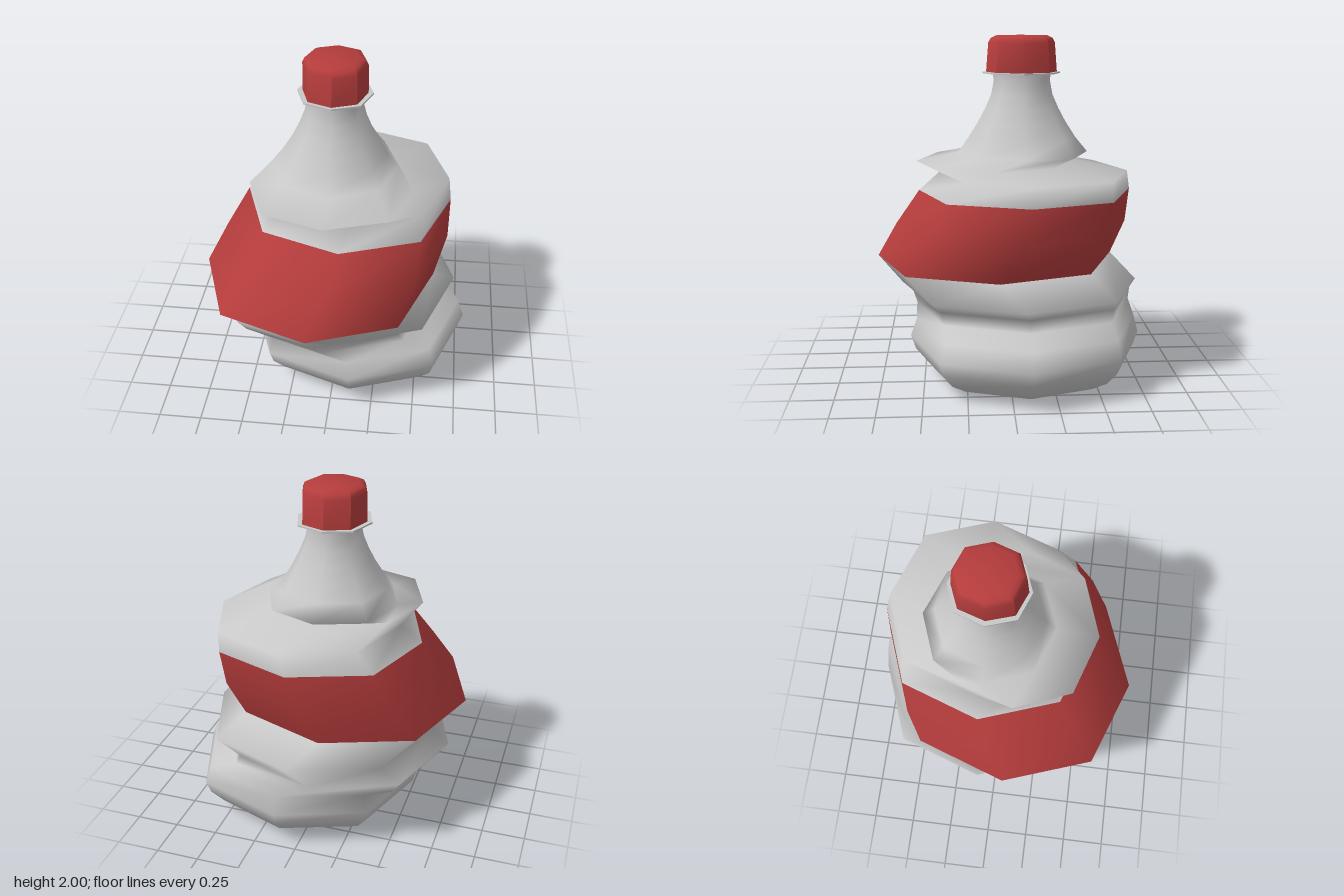
import * as THREE from 'three';
import { toCreasedNormals } from 'three/addons/utils/BufferGeometryUtils.js';

const SIDES = 8;

// Lofts eight-sided rings [y, centreX, centreZ, radiusX, radiusZ], listed from bottom to top
function loft(rings) {
  const pos = [], index = [];
  rings.forEach(([y, cx, cz, rx, rz]) => {
    for (let j = 0; j < SIDES; j++) {
      const a = (j / SIDES) * Math.PI * 2;
      const k = j % 2 ? 1.04 : 1; // corners bulge a little
      pos.push(cx + Math.sin(a) * rx * k, y, cz + Math.cos(a) * rz * k);
    }
  });
  for (let i = 0; i < rings.length - 1; i++) {
    for (let j = 0; j < SIDES; j++) {
      const n = (j + 1) % SIDES;
      const a = i * SIDES + j, b = i * SIDES + n, c = b + SIDES, d = a + SIDES;
      if (rings[i][3] > 0) index.push(a, b, c);
      if (rings[i + 1][3] > 0) index.push(a, c, d);
      else if (rings[i][3] > 0) index.splice(-3, 3, a, b, d);
    }
  }
  const g = new THREE.BufferGeometry();
  g.setAttribute('position', new THREE.Float32BufferAttribute(pos, 3));
  g.setIndex(index);
  g.computeVertexNormals();
  return g;
}

export function createModel() {
  const plastic = new THREE.MeshStandardMaterial({ color: 0xc8c8c8 });
  plastic.name = 'pale grey plastic';
  const red = new THREE.MeshStandardMaterial({ color: 0xb53c3c });
  red.name = 'red';

  const group = new THREE.Group();
  group.name = 'crumpledBottle';
  const add = (name, geometry, material) => {
    const mesh = new THREE.Mesh(geometry, material);
    mesh.name = name;
    group.add(mesh);
  };

  // Rings where the label meets the bottle
  const labelBottom = [0.68, -0.11, 0.07, 0.69, 0.71];
  const labelTop = [1.11, 0.05, -0.1, 0.605, 0.62];

  // Dented base and squashed folds below the label
  add('lowerBody', loft([
    [0.05, 0.115, -0.1, 0, 0],
    [0.03, 0.115, -0.1, 0.3, 0.3],
    [0.0, 0.115, -0.1, 0.42, 0.44],
    [0.02, 0.115, -0.1, 0.48, 0.49],
    [0.08, 0.115, -0.1, 0.58, 0.59],
    [0.16, 0.115, -0.1, 0.65, 0.655],
    [0.24, 0.115, -0.1, 0.675, 0.682],
    [0.345, 0.11, -0.105, 0.64, 0.65],
    [0.4, -0.05, -0.1, 0.64, 0.648],
    [0.465, -0.09, -0.095, 0.65, 0.67],
    [0.55, 0.04, -0.073, 0.67, 0.7],
    labelBottom,
  ]), plastic);

  // Leaning label band
  add('label', loft([
    labelBottom,
    [0.9, -0.015, -0.025, 0.665, 0.685],
    labelTop,
  ]), red);

  // Folded shoulder and tapering neck
  add('shoulderAndNeck', loft([
    labelTop,
    [1.225, 0.1, -0.148, 0.54, 0.548],
    [1.27, -0.035, 0.095, 0.475, 0.44],
    [1.32, -0.033, -0.093, 0.37, 0.383],
    [1.41, -0.031, -0.088, 0.305, 0.315],
    [1.5, -0.03, -0.087, 0.25, 0.258],
    [1.58, -0.03, -0.087, 0.21, 0.215],
    [1.66, -0.031, -0.087, 0.177, 0.18],
    [1.74, -0.032, -0.087, 0.158, 0.165],
    [1.79, -0.032, -0.087, 0.162, 0.17],
  ]), plastic);

  // Thin collar under the cap
  const collar = (y, rx, rz) => [y, -0.03, -0.085, rx, rz];
  add('collar', toCreasedNormals(loft([
    collar(1.783, 0, 0),
    collar(1.783, 0.215, 0.227),
    collar(1.792, 0.215, 0.227),
    collar(1.792, 0, 0),
  ]), 0.6), plastic);

  // Faceted cap with a rounded rim
  add('cap', toCreasedNormals(loft([
    collar(1.792, 0, 0),
    collar(1.792, 0.186, 0.207),
    collar(1.96, 0.184, 0.194),
    collar(1.985, 0.172, 0.18),
    collar(2.0, 0.14, 0.15),
    collar(2.0, 0, 0),
  ]), 0.7), red);

  return group;
}
